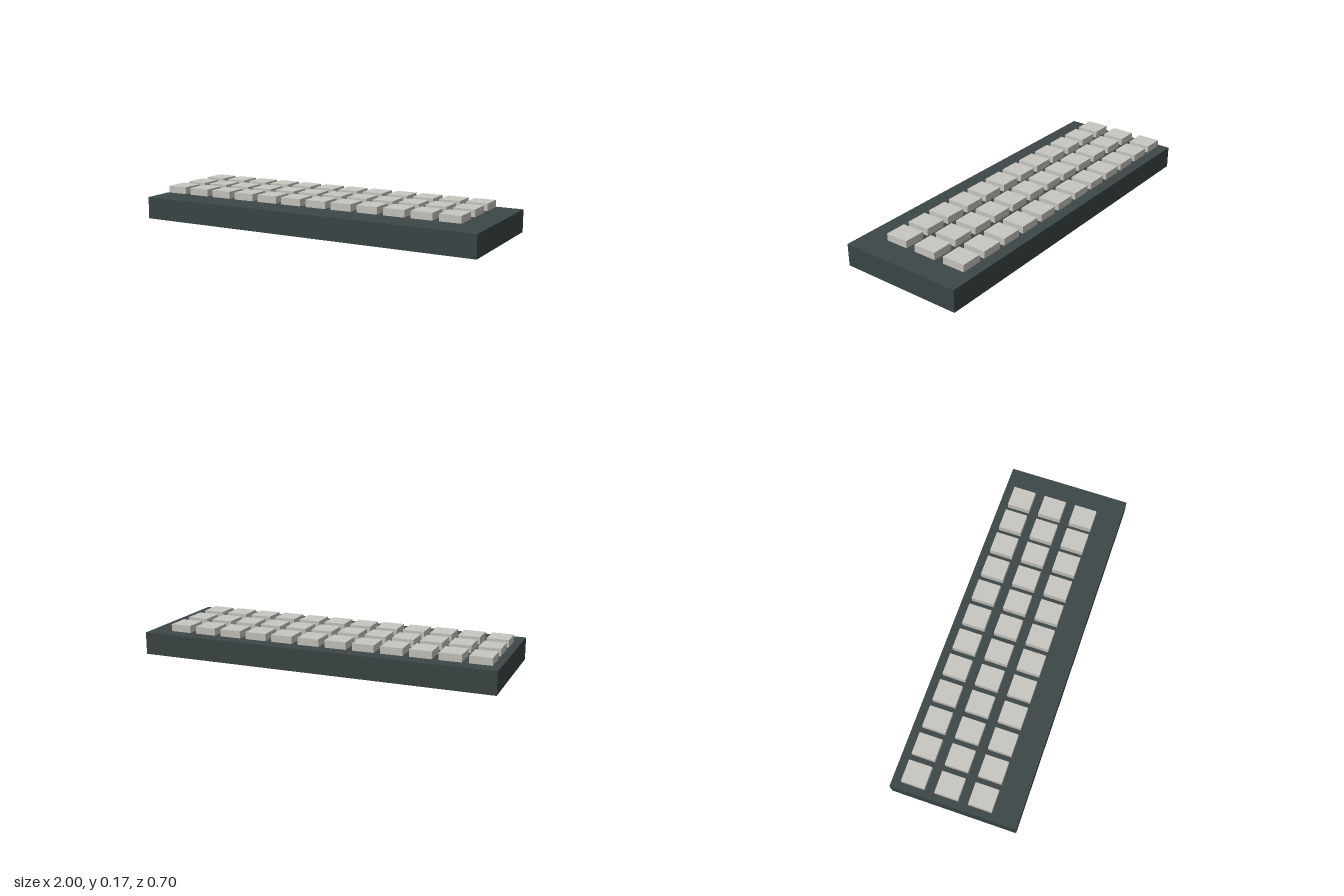
import * as THREE from 'three';

export function createModel() {
  const model = new THREE.Group();
  model.name = 'keyboard';

  const caseMaterial = new THREE.MeshStandardMaterial({ color: 0x3c4747 });
  caseMaterial.name = 'dark slate';
  const keyMaterial = new THREE.MeshStandardMaterial({ color: 0xc9c7c1 });
  keyMaterial.name = 'warm light grey';

  // Flat slab case
  const base = new THREE.Mesh(new THREE.BoxGeometry(2, 0.125, 0.7), caseMaterial);
  base.name = 'case';
  base.position.y = 0.0625;
  model.add(base);

  // Three rows of twelve keys, hovering just above the case and set towards its back left
  const keyGeometry = new THREE.BoxGeometry(0.12, 0.04, 0.13);
  for (let row = 0; row < 3; row++) {
    const keyRow = new THREE.Group();
    keyRow.name = `keyRow${row + 1}`;
    keyRow.position.set(-0.902, 0.153, -0.23 + row * 0.185);
    for (let column = 0; column < 12; column++) {
      const key = new THREE.Mesh(keyGeometry, keyMaterial);
      key.name = 'key';
      key.position.x = column * 0.155;
      keyRow.add(key);
    }
    model.add(keyRow);
  }

  return model;
}
